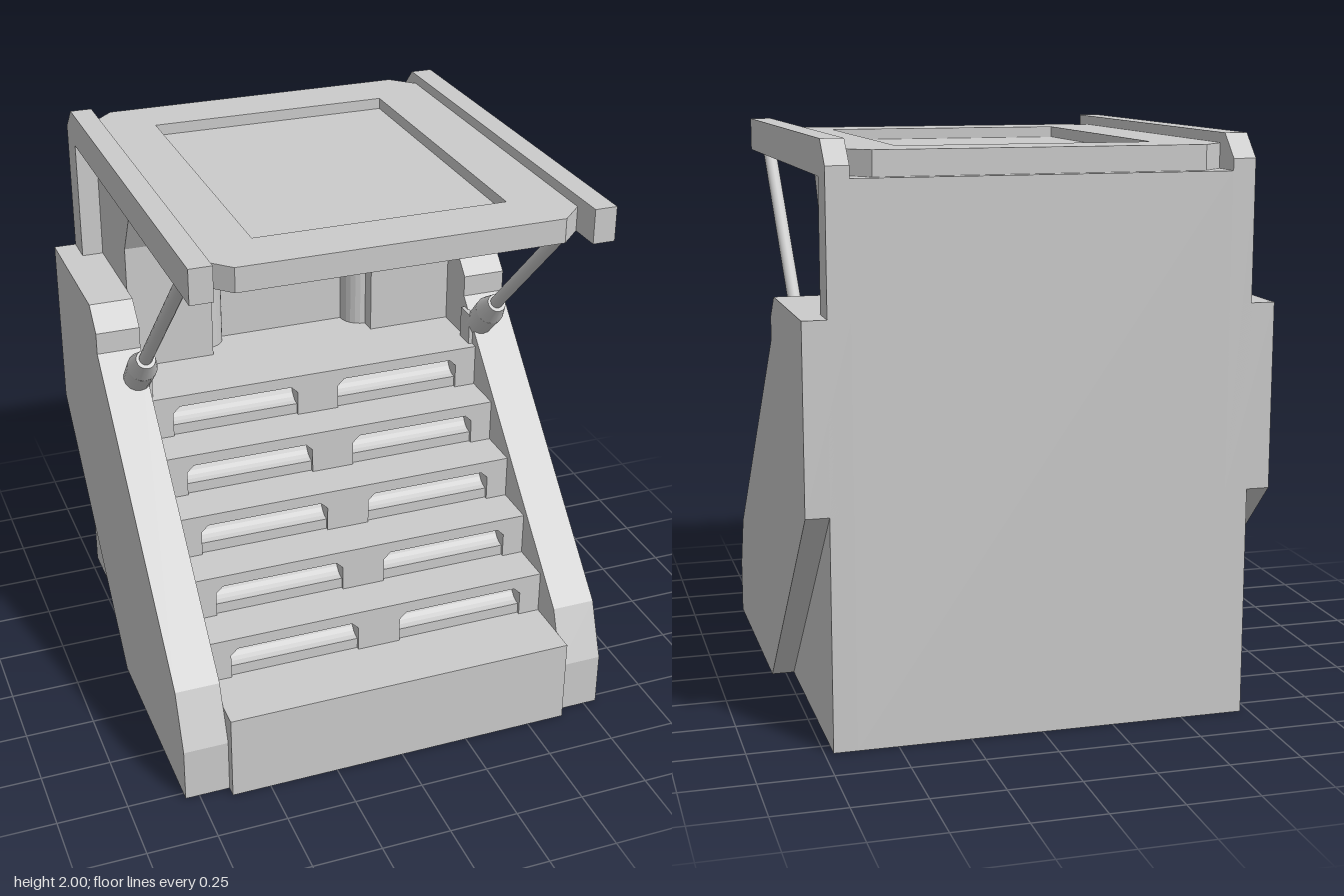
import * as THREE from 'three';

const material = new THREE.MeshStandardMaterial({ color: 0xcccccc, flatShading: true });
const smooth = new THREE.MeshStandardMaterial({ color: 0xcccccc });

const toShape = (pts) => new THREE.Shape(pts.map(([a, b]) => new THREE.Vector2(a, b)));

export function createModel() {
  const model = new THREE.Group();

  function add(name, geometry, mat = material) {
    const mesh = new THREE.Mesh(geometry, mat);
    mesh.name = name;
    model.add(mesh);
    return mesh;
  }
  // box given by its limits
  function box(name, x0, x1, y0, y1, z0, z1) {
    const g = new THREE.BoxGeometry(x1 - x0, y1 - y0, z1 - z0);
    return add(name, g.translate((x0 + x1) / 2, (y0 + y1) / 2, (z0 + z1) / 2));
  }
  // side profile of [z, y] points, extruded from x0 to x1
  function sideProfile(name, pts, x0, x1) {
    const g = new THREE.ExtrudeGeometry(toShape(pts), { depth: x1 - x0, bevelEnabled: false });
    return add(name, g.rotateY(-Math.PI / 2).translate(x1, 0, 0));
  }
  // front outline of [x, y] points, extruded from z0 to z1
  function frontProfile(name, pts, z0, z1) {
    const g = new THREE.ExtrudeGeometry(toShape(pts), { depth: z1 - z0, bevelEnabled: false });
    return add(name, g.translate(0, 0, z0));
  }
  // quarter-round concave arc of [u, v] points between two corners
  function hollow(u0, v0, u1, v1, n = 6) {
    return Array.from({ length: n + 1 }, (_, i) => {
      const a = (i / n) * Math.PI / 2;
      return [u0 + (u1 - u0) * Math.sin(a), v0 + (v1 - v0) * (1 - Math.cos(a))];
    });
  }

  // stepped core behind the risers
  const steps = 5, rise = 0.16, firstY = 0.32, firstZ = 0.58, depth = 0.08;
  const core = [[-0.48, 0], [0.74, 0], [0.74, firstY]];
  for (let i = 0; i < steps; i++) {
    const z = firstZ - rise * i - depth, y = firstY + rise * i;
    core.push([z, y], [z, y + rise]);
  }
  core.push([-0.48, 1.12]);
  sideProfile('steppedCore', core, -0.64, 0.64);
  box('kickPlate', -0.64, 0.64, 0, 0.32, 0.74, 0.82);

  // risers, each with two scooped slots
  for (let i = 0; i < steps; i++) {
    const y = firstY + rise * i, z = firstZ - rise * i, top = y + 0.118, c = 0.025;
    const outline = [[-0.64, y]];
    for (const [a, b] of [[-0.56, -0.08], [0.08, 0.56]]) {
      outline.push([a, y], [a, top - c], [a + c, top], [b - c, top], [b, top - c], [b, y]);
      const scoop = [[z - depth, y], [z - 0.012, y], [z - 0.012, y + 0.04],
        ...hollow(z - 0.02, y + 0.04, z - depth, top)];
      sideProfile('slotScoop', scoop, a, b);
    }
    outline.push([0.64, y], [0.64, y + rise], [-0.64, y + rise]);
    frontProfile('riser', outline, z - depth, z);
  }

  // rear housing, niche wall and sloped header
  box('rearHousing', -0.64, 0.64, 0, 1.88, -0.82, -0.48);
  frontProfile('nicheWall', [[-0.64, 1.12], [-0.32, 1.12], [-0.32, 1.41], [-0.29, 1.44],
    [0.29, 1.44], [0.32, 1.41], [0.32, 1.12], [0.64, 1.12], [0.64, 1.6], [-0.64, 1.6]], -0.48, -0.34);
  sideProfile('header', [[-0.48, 1.6], [-0.34, 1.6], [-0.18, 1.88], [-0.48, 1.88]], -0.64, 0.64);

  // lid frame with a sunken panel
  const lid = toShape([[-0.64, -0.66], [-0.56, -0.74], [0.56, -0.74], [0.64, -0.66],
    [0.64, 0.7], [0.56, 0.78], [-0.56, 0.78], [-0.64, 0.7]]);
  lid.holes.push(toShape([[-0.44, -0.54], [-0.44, 0.58], [0.44, 0.58], [0.44, -0.54]]));
  const lidGeometry = new THREE.ExtrudeGeometry(lid, { depth: 0.085, bevelEnabled: false });
  add('lidFrame', lidGeometry.rotateX(-Math.PI / 2).translate(0, 1.88, 0));
  box('lidPanel', -0.44, 0.44, 1.88, 1.925, -0.58, 0.54);

  // a tapered rod between two points
  function rod(name, from, to, rFrom, rTo) {
    const a = new THREE.Vector3(...from), b = new THREE.Vector3(...to);
    const mesh = add(name, new THREE.CylinderGeometry(rTo, rFrom, a.distanceTo(b), 16), smooth);
    mesh.position.copy(a).add(b).multiplyScalar(0.5);
    mesh.quaternion.setFromUnitVectors(new THREE.Vector3(0, 1, 0), b.sub(a).normalize());
  }

  for (const s of [-1, 1]) {
    const span = (a, b) => (s > 0 ? [a, b] : [-b, -a]);

    // outer side panel with its lower rear corner cut away
    sideProfile('sidePanel', [[-0.02, 0], [0.78, 0], [0.78, 0.2], [0.7, 0.4], [-0.18, 1.28],
      [-0.18, 1.36], [-0.26, 1.44], [-0.82, 1.44], [-0.82, 0.8]], ...span(0.64, 0.8));
    sideProfile('rearCorner', [[-0.82, 0], [-0.02, 0], [-0.82, 0.8]], ...span(0.64, 0.72));

    // rear post and top rail in one piece
    sideProfile('railAndPost', [[-0.82, 0.8], [-0.7, 0.8], [-0.7, 1.88], [0.78, 1.88],
      [0.78, 2], [-0.74, 2], [-0.82, 1.92]], ...span(0.64, 0.718));

    // lid strut
    const x = s * 0.675;
    rod('strutRod', [x, 1.3, -0.01], [x, 1.9, 0.6], 0.024, 0.024);
    rod('strutNeck', [x, 1.285, -0.022], [x, 1.34, 0.035], 0.055, 0.035);
    rod('strutBody', [x, 1.17, -0.135], [x, 1.285, -0.022], 0.05, 0.055);
    box('strutMount', ...span(0.625, 0.645), 1.08, 1.24, -0.17, -0.09);

    // curved inner corner of the niche
    const corner = [[s * 0.32, -0.48], ...hollow(s * 0.32, -0.4, s * 0.245, -0.48)]
      .map(([u, z]) => [u, -z]);
    const g = new THREE.ExtrudeGeometry(toShape(corner), { depth: 0.32, bevelEnabled: false });
    add('nicheCorner', g.rotateX(-Math.PI / 2).translate(0, 1.12, 0));
  }

  return model;
}
